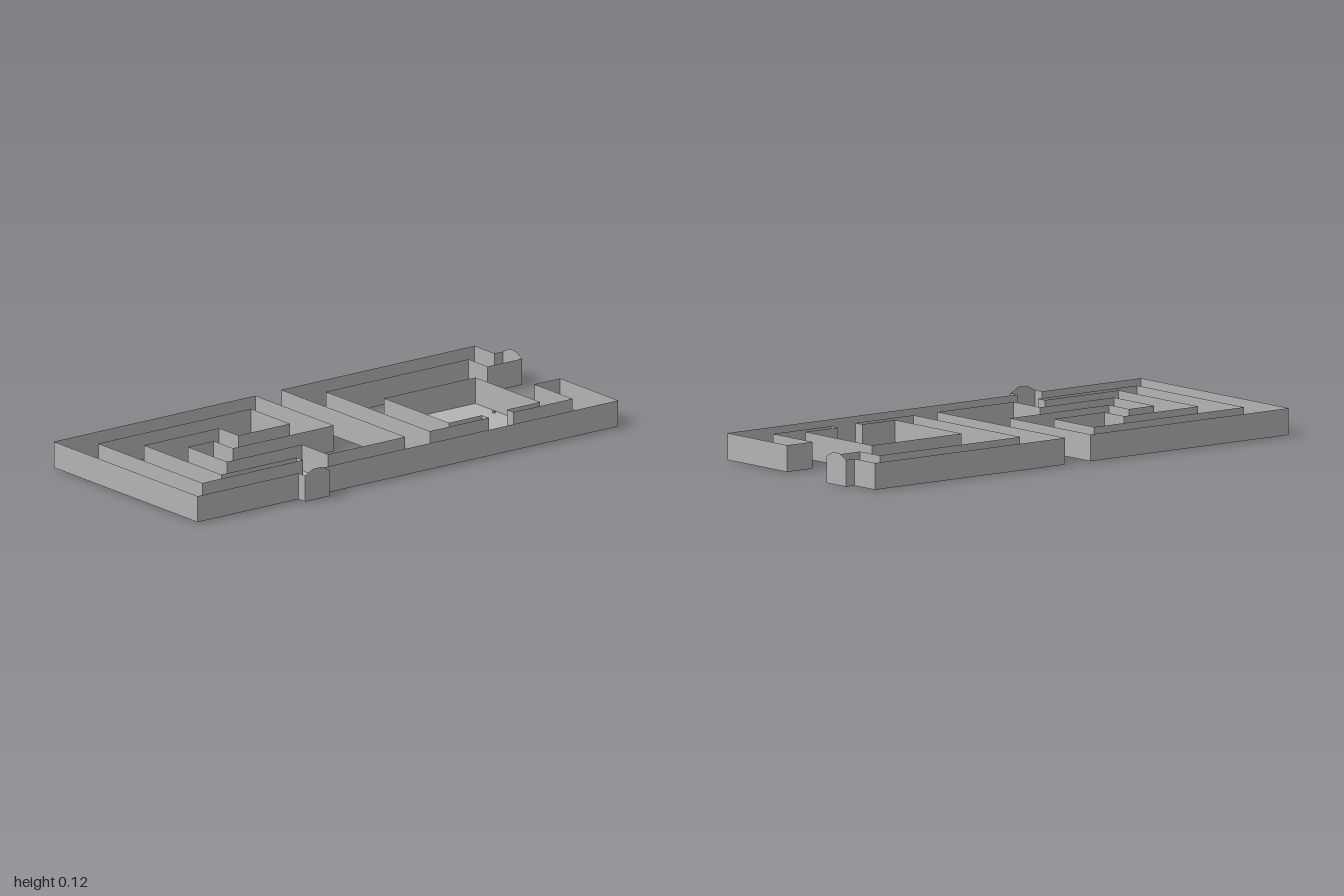
import * as THREE from 'three';

const WALL_HEIGHT = 0.1;

// Footprint rectangles: x0, z0, x1, z1
const AREAS = [
  // left loop
  [-1, -0.455, -0.06, -0.335], [-1, -0.455, -0.885, 0.41], [-0.175, -0.455, -0.06, 0.015],
  // inner spiral
  [-0.53, -0.1, -0.06, 0.015], [-0.765, -0.215, -0.415, -0.1], [-0.765, -0.215, -0.65, 0.25],
  [-0.765, 0.135, -0.3, 0.25], [-0.415, 0.135, -0.3, 0.29],
  // long front corridor and front entrance
  [-1, 0.29, 0.96, 0.41], [-0.53, 0.41, -0.415, 0.45],
  // right loop and side entrance
  [0.06, -0.455, 0.175, 0.41], [0.06, -0.455, 0.96, -0.335], [0.84, -0.335, 1, -0.22],
  [0.84, 0.06, 0.96, 0.41],
  // square room and its passage
  [0.295, -0.14, 0.72, 0.25], [0.45, 0.25, 0.565, 0.29],
];

export function createModel() {
  const group = new THREE.Group();
  const stone = new THREE.MeshStandardMaterial({ color: 0xb4b4b4, side: THREE.DoubleSide });
  stone.name = 'grey stone';

  function addMesh(name, geometry) {
    const mesh = new THREE.Mesh(geometry, stone);
    mesh.name = name;
    group.add(mesh);
    return mesh;
  }

  function quads(positions) {
    const geometry = new THREE.BufferGeometry();
    geometry.setAttribute('position', new THREE.Float32BufferAttribute(positions, 3));
    geometry.computeVertexNormals();
    return geometry;
  }

  function pushQuad(out, a, b, c, d) {
    out.push(...a, ...b, ...c, ...a, ...c, ...d);
  }

  // Split the plan into cells along every rectangle edge
  const sorted = (values) => [...new Set(values)].sort((a, b) => a - b);
  const xs = sorted(AREAS.flatMap((r) => [r[0], r[2]]));
  const zs = sorted(AREAS.flatMap((r) => [r[1], r[3]]));
  function filled(i, j) {
    const x = (xs[i] + xs[i + 1]) / 2;
    const z = (zs[j] + zs[j + 1]) / 2;
    return AREAS.some((r) => x > r[0] && x < r[2] && z > r[1] && z < r[3]);
  }

  const floor = [];
  const walls = [];
  function wall(xa, za, xb, zb) {
    pushQuad(walls, [xa, 0, za], [xb, 0, zb], [xb, WALL_HEIGHT, zb], [xa, WALL_HEIGHT, za]);
  }

  // Floor in each filled cell, thin walls along the outline, facing outwards
  for (let i = 0; i < xs.length - 1; i++) {
    for (let j = 0; j < zs.length - 1; j++) {
      if (!filled(i, j)) continue;
      const [x0, x1, z0, z1] = [xs[i], xs[i + 1], zs[j], zs[j + 1]];
      pushQuad(floor, [x0, 0, z0], [x0, 0, z1], [x1, 0, z1], [x1, 0, z0]);
      if (!filled(i, j + 1)) wall(x0, z1, x1, z1);
      if (!filled(i, j - 1)) wall(x1, z0, x0, z0);
      if (!filled(i + 1, j)) wall(x1, z1, x1, z0);
      if (!filled(i - 1, j)) wall(x0, z0, x0, z1);
    }
  }
  addMesh('floor', quads(floor));
  addMesh('walls', quads(walls));

  // Raised tops of the two entrance doors
  const top = new THREE.Shape();
  top.moveTo(-0.058, 0);
  top.lineTo(0.058, 0);
  top.lineTo(0.019, 0.02);
  top.lineTo(-0.019, 0.02);
  const topGeometry = new THREE.ShapeGeometry(top);
  addMesh('frontDoorTop', topGeometry).position.set(-0.4725, WALL_HEIGHT, 0.45);
  const sideTop = addMesh('sideDoorTop', topGeometry);
  sideTop.position.set(1, WALL_HEIGHT, -0.2775);
  sideTop.rotation.y = Math.PI / 2;

  // Small block at the corridor corner and a tiny marker in the room
  addMesh('cornerBlock', new THREE.BoxGeometry(0.035, 0.03, 0.035)).position.set(-0.086, 0.015, -0.012);
  addMesh('roomMarker', new THREE.BoxGeometry(0.008, 0.008, 0.008)).position.set(0.702, 0.004, -0.004);

  return group;
}
